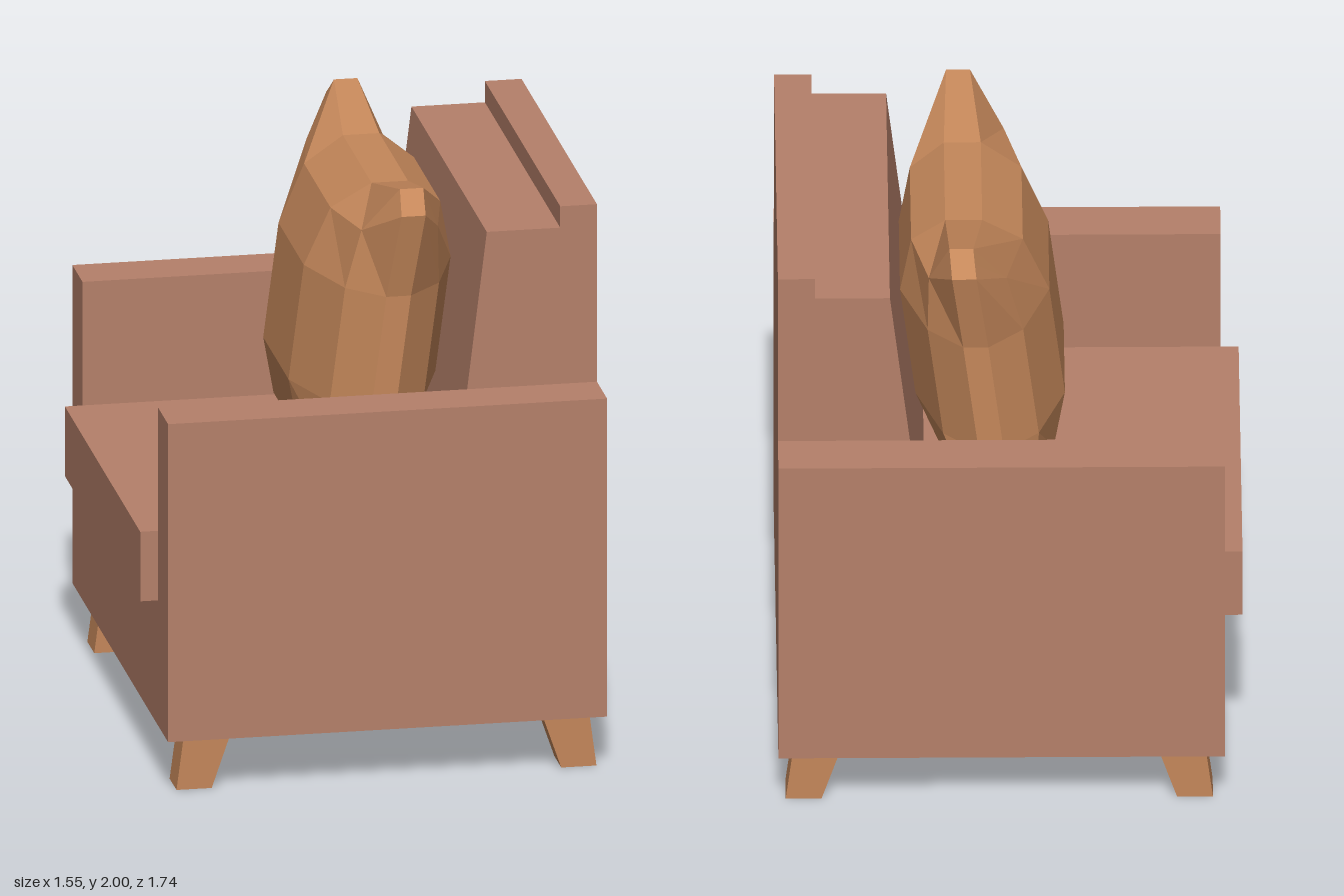
import * as THREE from 'three';

export function createModel() {
  const fabric = new THREE.MeshStandardMaterial({ name: 'roseFabric', color: 0xb5806a });
  const tan = new THREE.MeshStandardMaterial({ name: 'tanWoodAndPillow', color: 0xc4875a });
  tan.flatShading = true;

  const chair = new THREE.Group();
  chair.name = 'armchair';

  const add = (name, geometry, material) => {
    const mesh = new THREE.Mesh(geometry, material);
    mesh.name = name;
    chair.add(mesh);
    return mesh;
  };
  // Box given by its limits on each axis
  const box = (name, x0, x1, y0, y1, z0, z1) => {
    const g = new THREE.BoxGeometry(x1 - x0, y1 - y0, z1 - z0);
    g.translate((x0 + x1) / 2, (y0 + y1) / 2, (z0 + z1) / 2);
    return add(name, g, fabric);
  };
  // Side outline in x, y extruded between two z values
  const prism = (name, points, z0, z1, material) => {
    const shape = new THREE.Shape(points.map(([x, y]) => new THREE.Vector2(x, y)));
    const g = new THREE.ExtrudeGeometry(shape, { depth: z1 - z0, bevelEnabled: false });
    g.translate(0, 0, z0);
    return add(name, g, material);
  };

  // Upholstered frame, seat towards -x and back towards +x
  box('base', -0.72, 0.775, 0.19, 0.63, -0.685, 0.685);
  box('leftArm', -0.72, 0.775, 0.19, 1.31, 0.685, 0.87);
  box('rightArm', -0.72, 0.775, 0.19, 1.31, -0.87, -0.685);
  box('backFrame', 0.65, 0.775, 0.63, 1.935, -0.685, 0.685);
  box('seatCushion', -0.78, 0.65, 0.63, 0.875, -0.685, 0.685);
  prism('backCushion', [[0.28, 0.875], [0.65, 0.875], [0.65, 1.86], [0.40, 1.86]], -0.685, 0.685, fabric);

  // Splayed tapering legs
  const frontLeg = [[-0.68, 0], [-0.56, 0], [-0.495, 0.19], [-0.655, 0.19]];
  const backLeg = [[0.63, 0], [0.75, 0], [0.725, 0.19], [0.565, 0.19]];
  for (const [z0, z1] of [[0.685, 0.81], [-0.81, -0.685]]) {
    prism('frontLeg', frontLeg, z0, z1, tan);
    prism('backLeg', backLeg, z0, z1, tan);
  }

  add('pillow', pillowGeometry(), tan);
  return chair;
}

// Faceted pillow with pulled-out corners, leaning on the back cushion
function pillowGeometry() {
  // One quarter of the net, centre to rim: [z, y, half thickness]
  const quarter = [
    [[0.23, 0.2, 0.25], [0.24, 0.4, 0.187], [0.26, 0.485, 0.062]],
    [[0.5, 0.2, 0.16], [0.5, 0.4, 0.13], [0.6, 0.57, 0.04]],
    [[0.62, 0.2, 0.042], [0.685, 0.5, 0.041], [0.6425, 0.535, 0.04]],
  ];
  const N = 5;
  const point = (i, j, side) => {
    const a = i < 3 ? 2 - i : i - 3;
    const b = j < 3 ? 2 - j : j - 3;
    const [z, v, t] = quarter[a][b];
    const dy = j < 3 ? -v : v;
    return [0.086 + 0.13 * dy + side * t, 1.43 + dy, i < 3 ? -z : z];
  };
  const positions = [];
  const quad = (a, b, c, d) => positions.push(...a, ...b, ...c, ...a, ...c, ...d);

  // Two puffed faces
  for (let i = 0; i < N; i++) {
    for (let j = 0; j < N; j++) {
      for (const s of [1, -1]) {
        const q = [point(i, j, s), point(i, j + 1, s), point(i + 1, j + 1, s), point(i + 1, j, s)];
        if (s < 0) q.reverse();
        quad(...q);
      }
    }
  }
  // Narrow rim joining them
  const loop = [];
  for (let k = 0; k < N; k++) loop.push([k, 0]);
  for (let k = 0; k < N; k++) loop.push([N, k]);
  for (let k = N; k > 0; k--) loop.push([k, N]);
  for (let k = N; k > 0; k--) loop.push([0, k]);
  loop.forEach((p, k) => {
    const n = loop[(k + 1) % loop.length];
    quad(point(...p, -1), point(...p, 1), point(...n, 1), point(...n, -1));
  });

  const g = new THREE.BufferGeometry();
  g.setAttribute('position', new THREE.Float32BufferAttribute(positions, 3));
  g.computeVertexNormals();
  return g;
}
